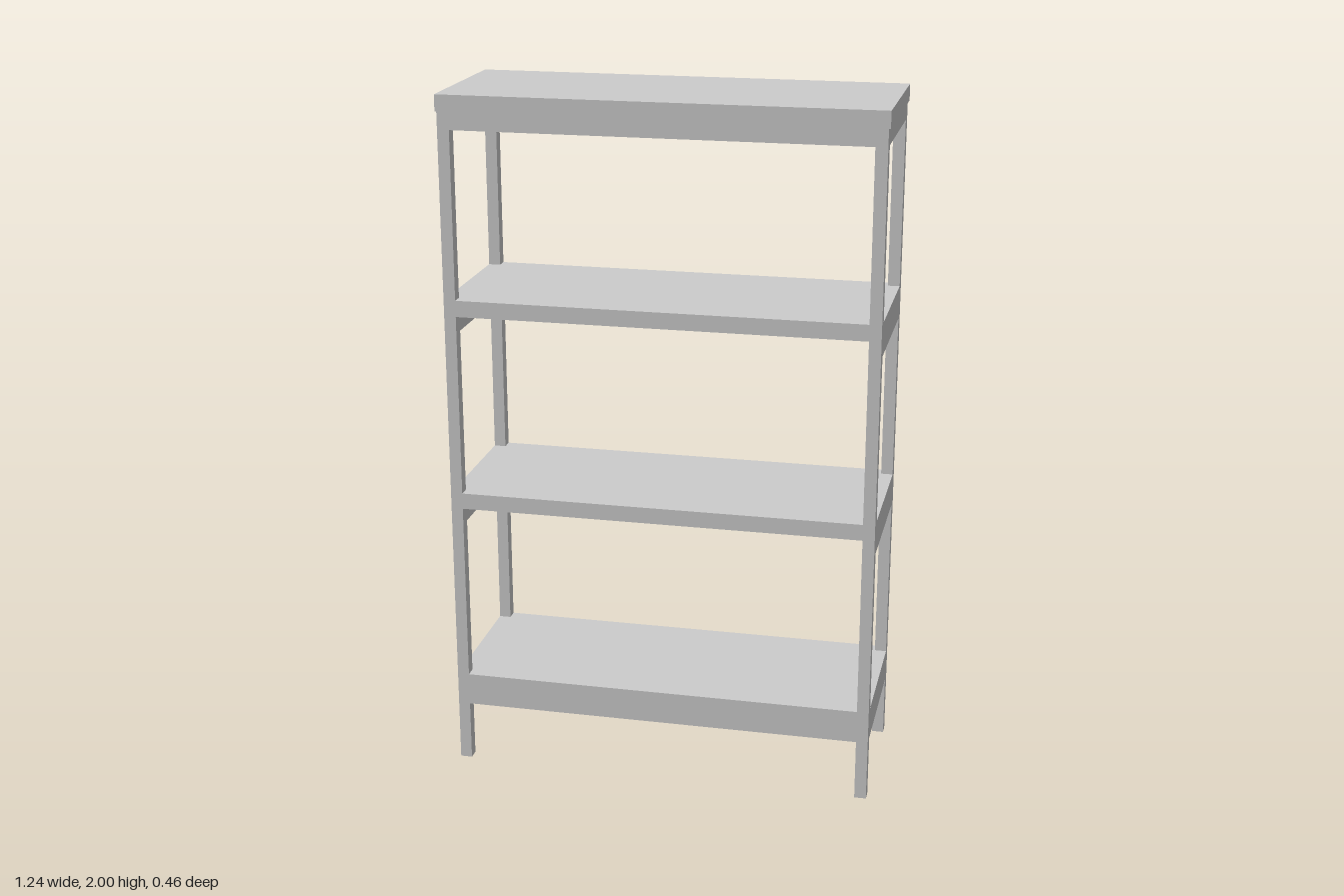
import * as THREE from 'three';

const X = 0.615, Z = 0.23;      // half width and half depth of the frame
const POST = 0.034;             // square post section
const RAIL = 0.034;             // rail thickness
const BOARD = 0.047;            // shelf board thickness
const TOP = 2;

export function createModel() {
  const shelving = new THREE.Group();
  shelving.name = 'shelvingUnit';
  const material = new THREE.MeshStandardMaterial({ color: 0xcccccc, flatShading: true });

  function add(name, geometry, x, y, z) {
    const mesh = new THREE.Mesh(geometry, material);
    mesh.name = name;
    mesh.position.set(x, y, z);
    shelving.add(mesh);
  }

  function box(name, w, y0, y1, d, x, z) {
    add(name, new THREE.BoxGeometry(w, y1 - y0, d), x, (y0 + y1) / 2, z);
  }

  // Shelf board with its corners cut out around the posts
  function notchedBoard(y) {
    const a = X - POST, b = Z - POST;
    const shape = new THREE.Shape([
      [a, -Z], [a, -b], [X, -b], [X, b], [a, b], [a, Z],
      [-a, Z], [-a, b], [-X, b], [-X, -b], [-a, -b], [-a, -Z],
    ].map(([x, z]) => new THREE.Vector2(x, z)));
    const geometry = new THREE.ExtrudeGeometry(shape, { depth: BOARD, bevelEnabled: false });
    geometry.rotateX(-Math.PI / 2);
    add('shelfBoard', geometry, 0, y - BOARD, 0);
  }

  // Four corner posts, ending under the top board
  for (const sx of [-1, 1]) {
    for (const sz of [-1, 1]) {
      box('post', POST, 0, TOP - BOARD, POST, sx * (X - POST / 2), sz * (Z - POST / 2));
    }
  }

  // Boards and the rails beneath them; only the top and bottom have long rails
  const levels = [
    { y: 0.275, longRails: true },
    { y: 0.85, longRails: false },
    { y: 1.425, longRails: false },
    { y: TOP, longRails: true },
  ];
  for (const { y, longRails } of levels) {
    if (y === TOP) box('topBoard', 1.24, y - BOARD, y, 2 * Z, 0, 0);
    else notchedBoard(y);
    const y1 = y - BOARD, y0 = y - 0.096;
    for (const s of [-1, 1]) {
      box('sideRail', RAIL, y0, y1, 2 * (Z - POST), s * (X - RAIL / 2), 0);
      if (longRails) box('longRail', 2 * (X - POST), y0, y1, RAIL, 0, s * (Z - RAIL / 2));
    }
  }
  return shelving;
}
